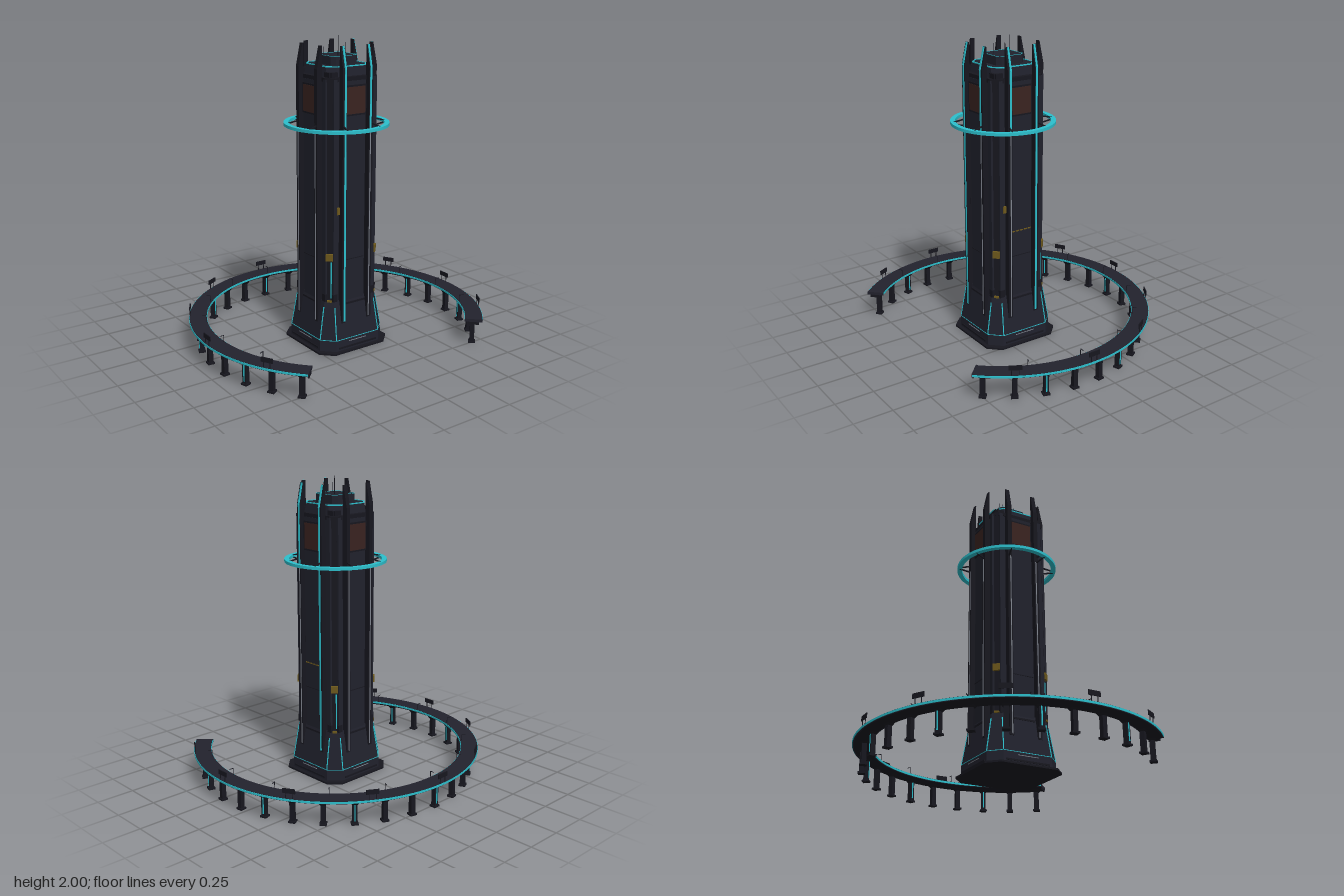
import * as THREE from 'three';
import { toCreasedNormals } from 'three/addons/utils/BufferGeometryUtils.js';

const mat = (name, color) => {
  const m = new THREE.MeshStandardMaterial({ color });
  m.name = name;
  return m;
};

export function createModel() {
  const wall = mat('wall', 0x20212c), dark = mat('dark', 0x17171f), deckMat = mat('deck', 0x22222d);
  const cyan = mat('cyan', 0x2cbfcc), rust = mat('rust', 0x3a2320), amber = mat('amber', 0x6e591c);
  const grey = mat('grey', 0x80858f);

  const model = new THREE.Group();
  model.name = 'tower and ring road';
  const hub = new THREE.Group(); // everything is centred on the tower axis
  hub.name = 'hub';
  hub.position.z = 0.14;
  model.add(hub);

  const add = (parent, name, geo, material, x = 0, y = 0, z = 0) => {
    const m = new THREE.Mesh(geo, material);
    m.name = name;
    m.position.set(x, y, z);
    parent.add(m);
    return m;
  };
  const box = (parent, name, w, h, d, material, x, y, z) =>
    add(parent, name, new THREE.BoxGeometry(w, h, d), material, x, y, z);
  // Square bar between two points
  const bar = (parent, name, a, b, w, material) => {
    const p = new THREE.Vector3(...a), q = new THREE.Vector3(...b);
    const m = new THREE.Mesh(new THREE.BoxGeometry(w, w, p.distanceTo(q)), material);
    m.name = name;
    m.position.copy(p).add(q).multiplyScalar(0.5);
    m.lookAt(q);
    parent.add(m);
  };
  const group = (parent, name, angle = 0) => {
    const g = new THREE.Group();
    g.name = name;
    g.rotation.y = angle;
    parent.add(g);
    return g;
  };

  // Square with cut corners: half width h, corner cut c
  const octagon = (y, h, c) => {
    const k = h - c;
    return [[-k, h], [k, h], [h, k], [h, -k], [k, -h], [-k, -h], [-h, -k], [-h, k]].map(([x, z]) => [x, y, z]);
  };
  // Solid through a stack of [y, half width, corner cut] sections
  const loft = (sections) => {
    const rings = sections.map((s) => octagon(...s)), v = [];
    const n = rings.length - 1;
    for (let i = 0; i < 8; i++) {
      const j = (i + 1) % 8;
      for (let r = 0; r < n; r++) {
        const a = rings[r][i], b = rings[r][j], c = rings[r + 1][j], d = rings[r + 1][i];
        v.push(...a, ...b, ...d, ...b, ...c, ...d);
      }
      v.push(0, sections[n][0], 0, ...rings[n][i], ...rings[n][j]);
      v.push(0, sections[0][0], 0, ...rings[0][j], ...rings[0][i]);
    }
    const g = new THREE.BufferGeometry();
    g.setAttribute('position', new THREE.Float32BufferAttribute(v, 3));
    g.computeVertexNormals();
    return g;
  };
  const trimLoop = (name, y, h, c, w) => {
    const p = octagon(y, h, c);
    p.forEach((a, i) => bar(hub, name, a, p[(i + 1) % 8], w, cyan));
  };

  // Foot, flared skirt, shaft and roof tiers
  add(hub, 'footSlab', loft([[0, 0.27, 0.076], [0.012, 0.27, 0.076]]), dark);
  add(hub, 'plinth', loft([[0.012, 0.245, 0.075], [0.08, 0.243, 0.075]]), wall);
  add(hub, 'skirt', loft([[0.08, 0.243, 0.075], [0.3, 0.205, 0.05], [0.34, 0.197, 0.045]]), wall);
  add(hub, 'shaft', loft([[0.3, 0.19, 0.045], [1.765, 0.19, 0.045]]), wall);
  add(hub, 'parapet', loft([[1.745, 0.196, 0.045], [1.77, 0.196, 0.045]]), dark);
  add(hub, 'upperTier', loft([[1.77, 0.165, 0.05], [1.83, 0.155, 0.05]]), wall);
  add(hub, 'penthouse', loft([[1.83, 0.1, 0.025], [1.885, 0.1, 0.025]]), wall);
  trimLoop('tierTrim', 1.83, 0.155, 0.05, 0.007);
  trimLoop('penthouseTrim', 1.885, 0.097, 0.023, 0.004);
  trimLoop('skirtTrim', 0.085, 0.242, 0.075, 0.004);
  octagon(0.085, 0.242, 0.075).forEach((a, i) =>
    bar(hub, 'skirtEdgeLight', a, octagon(0.3, 0.205, 0.05)[i], 0.006, cyan));

  // Masts
  [[0.034, -0.03, 2.0], [-0.025, 0.05, 1.95], [0.055, 0.02, 1.96], [-0.06, -0.06, 1.93]].forEach(([x, z, top]) =>
    add(hub, 'mast', new THREE.CylinderGeometry(0.0015, 0.003, top - 1.88, 6), dark, x, (top + 1.88) / 2, z));

  // Rib with a blade-shaped tip, drawn as radius against height
  const ribShape = new THREE.Shape([[0.17, 0.19], [0.228, 0.19], [0.228, 1.82], [0.198, 1.96], [0.192, 1.96], [0.192, 1.77], [0.17, 1.77]]
    .map(([r, y]) => new THREE.Vector2(r, y)));
  const ribGeo = new THREE.ExtrudeGeometry(ribShape, { depth: 0.03, bevelEnabled: false });
  ribGeo.translate(0, 0, -0.015).rotateY(-Math.PI / 2);

  for (let k = 0; k < 4; k++) {
    const face = group(hub, 'towerFace', k * Math.PI / 2);
    const full = k === 0 ? -1 : k === 1 ? 1 : 0;
    for (const s of [-1, 1]) {
      add(face, 'rib', ribGeo, dark, s * 0.1, 0, 0);
      const light = s === full ? 0.2 : 1.43;
      if (k < 2) {
        box(face, 'ribLight', 0.013, 1.82 - light, 0.005, cyan, s * 0.096, (1.82 + light) / 2, 0.229);
        bar(face, 'tipLight', [s * 0.096, 1.82, 0.228], [s * 0.096, 1.96, 0.198], 0.012, cyan);
      }
      if (s !== full) box(face, 'ribSeam', 0.006, 1.23, 0.004, grey, s * 0.096, 0.815, 0.229);
      box(face, 'pilaster', 0.026, 1.42, 0.014, wall, s * 0.146, 1.05, 0.19);
      box(face, 'pilasterFoot', 0.034, 0.05, 0.02, dark, s * 0.146, 0.36, 0.19);
      box(face, 'parapetBlock', 0.05, 0.03, 0.02, dark, s * 0.14, 1.785, 0.165);
      // Halo struts
      bar(face, 'haloStrut', [s * 0.1, 1.425, 0.2], [s * 0.125, 1.447, 0.295], 0.008, dark);
      bar(face, 'haloStrut', [s * 0.1, 1.48, 0.2], [s * 0.125, 1.457, 0.295], 0.008, dark);
    }
    // Central panel with screen and seams
    box(face, 'centrePanel', 0.15, 1.43, 0.01, wall, 0, 1.03, 0.194);
    box(face, 'screenFrame', 0.16, 0.19, 0.012, dark, 0, 1.625, 0.198);
    box(face, 'screen', 0.142, 0.168, 0.006, rust, 0, 1.625, 0.203);
    box(face, 'seam', 0.15, 0.005, 0.004, dark, 0, 0.605, 0.199);
    box(face, 'lowerSill', 0.16, 0.012, 0.016, dark, 0, 0.31, 0.2);
    box(face, 'doorPlate', 0.14, 0.004, 0.004, grey, 0, 0.065, 0.244);
    box(face, 'plinthBand', 0.3, 0.012, 0.01, dark, 0, 0.03, 0.244);
    if (k < 2) {
      box(face, 'wallLamp', 0.02, 0.045, 0.012, amber, -0.125, 0.935, 0.196);
      box(face, 'wallLampBracket', 0.006, 0.045, 0.012, dark, -0.075, 0.935, 0.2);
    }
    if (k === 1) for (let i = 0; i < 5; i++) box(face, 'windowSlit', 0.024, 0.008, 0.004, amber, -0.062 + i * 0.031, 0.775, 0.2);

    // Corner light and lamp on each cut corner
    const corner = group(hub, 'towerCorner', (k + 0.5) * Math.PI / 2);
    box(corner, 'cornerPost', 0.034, 1.4, 0.012, dark, 0, 1.05, 0.237);
    box(corner, 'cornerLamp', 0.045, 0.045, 0.03, amber, 0, 0.635, 0.245);
    box(corner, 'cornerLampFoot', 0.03, 0.012, 0.012, amber, 0, 0.34, 0.252);
    if (k % 2) box(corner, 'cornerLight', 0.007, 0.24, 0.005, cyan, 0.01, 0.48, 0.245);
  }

  // Rings swept round the axis from a closed radius/height outline
  const ring = (name, pts, material, start = 0, length = Math.PI * 2) => {
    const outline = [...pts, pts[0]].map(([r, y]) => new THREE.Vector2(r, y));
    add(hub, name, toCreasedNormals(new THREE.LatheGeometry(outline, 96, start, length), 0.6), material);
  };
  const rect = (r0, r1, y0, y1) => [[r1, y0], [r1, y1], [r0, y1], [r0, y0]];
  ring('halo', rect(0.304, 0.336, 1.443, 1.462), cyan);

  // Ring road, open towards the front
  const open = Math.PI / 4, sweep = Math.PI * 1.5;
  ring('roadDeck', rect(0.857, 0.968, 0.163, 0.181), deckMat, open, sweep);
  ring('roadGirder', [[0.93, 0.145], [0.96, 0.163], [0.865, 0.163], [0.89, 0.145]], dark, open, sweep);
  ring('outerEdgeLight', rect(0.966, 0.971, 0.166, 0.179), cyan, open, sweep);
  ring('innerEdgeLight', rect(0.854, 0.859, 0.166, 0.179), cyan, open, sweep);
  for (const s of [-1, 1]) {
    const end = group(hub, 'roadEnd', s * open);
    box(end, 'endPlate', 0.006, 0.02, 0.116, deckMat, 0, 0.172, 0.9125);
    box(end, 'endGirder', 0.006, 0.02, 0.07, dark, 0, 0.154, 0.9125);
  }

  // Piers under the road
  for (let i = -11; i <= 11; i++) {
    const pier = group(hub, 'pier', Math.PI + i * Math.PI / 15);
    box(pier, 'pierShaft', 0.03, 0.14, 0.03, dark, 0, 0.075, 0.905);
    box(pier, 'pierFoot', 0.044, 0.012, 0.044, dark, 0, 0.006, 0.905);
    const cap = add(pier, 'pierCap', new THREE.CylinderGeometry(0.04, 0.023, 0.02, 4, 1), dark, 0, 0.143, 0.905);
    cap.rotation.y = Math.PI / 4;
    if (i % 3 === 0) for (const s of [-1, 1]) box(pier, 'pierLight', 0.008, 0.11, 0.004, cyan, 0, 0.08, 0.905 + s * 0.016);
  }

  // Signboards along the outer edge, lamp posts along the inner edge
  for (let i = -4; i <= 4; i++) {
    const sign = group(hub, 'signboard', Math.PI + i * Math.PI / 6);
    box(sign, 'signPanel', 0.08, 0.03, 0.006, dark, 0, 0.23, 0.965);
    for (const s of [-1, 1]) box(sign, 'signPost', 0.004, 0.04, 0.004, dark, s * 0.022, 0.198, 0.965);
  }
  for (let i = -5; i <= 5; i++) {
    const lamp = group(hub, 'lampPost', Math.PI + i * 0.4);
    box(lamp, 'lampPole', 0.003, 0.045, 0.003, dark, 0, 0.203, 0.865);
    box(lamp, 'lampArm', 0.004, 0.003, 0.028, dark, 0, 0.225, 0.878);
  }
  return model;
}
